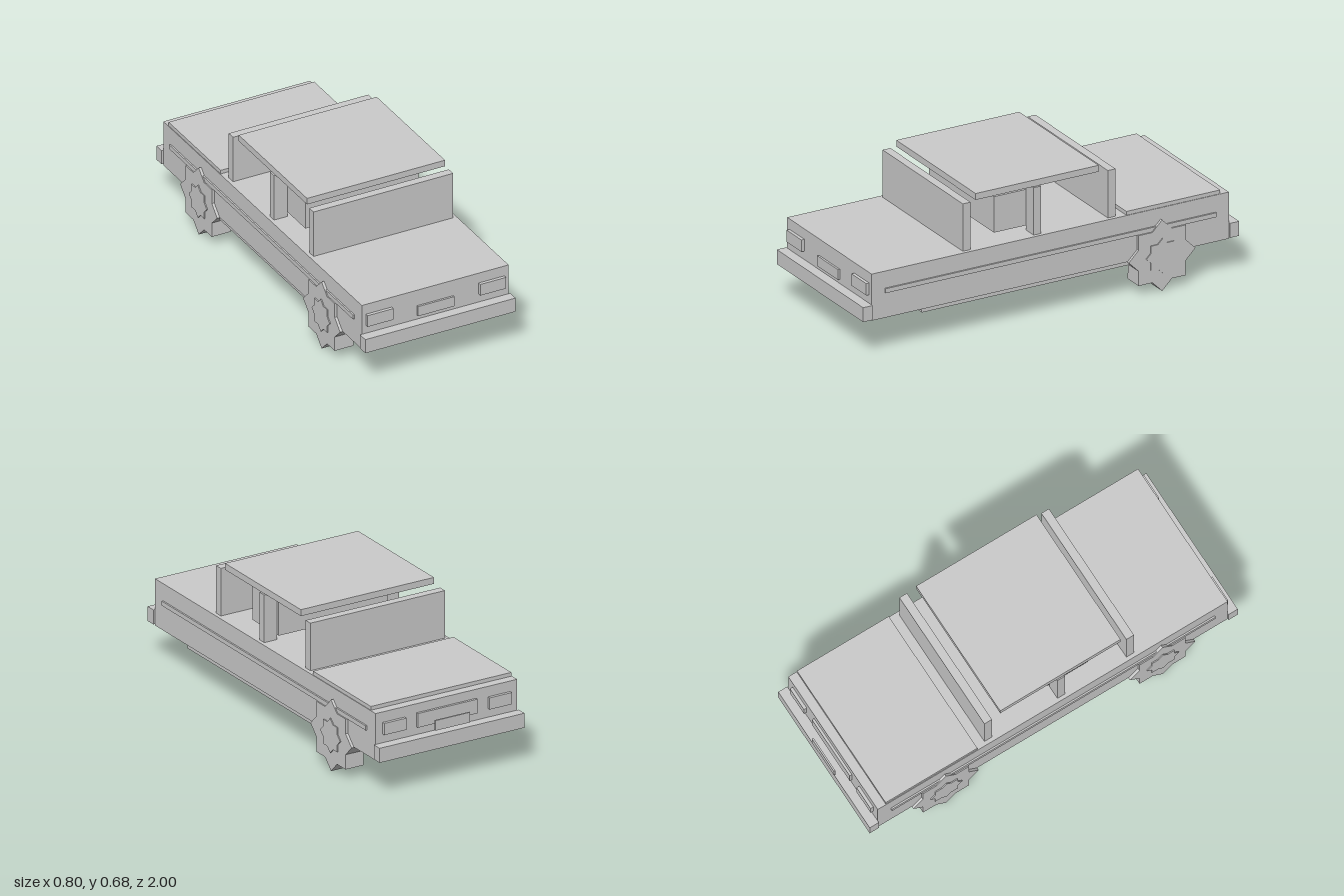
import * as THREE from 'three';

const material = new THREE.MeshStandardMaterial({ color: 0xcccccc, flatShading: true });

// Box given by its [min, max] range on each axis
function box(parent, name, [x0, x1], [y0, y1], [z0, z1]) {
  const mesh = new THREE.Mesh(new THREE.BoxGeometry(x1 - x0, y1 - y0, z1 - z0), material);
  mesh.name = name;
  mesh.position.set((x0 + x1) / 2, (y0 + y1) / 2, (z0 + z1) / 2);
  parent.add(mesh);
}

// Eight-pointed star prism lying along x
function star(name, radius, x0, x1) {
  const points = [];
  for (let i = 0; i < 16; i++) {
    const r = i % 2 ? radius * 0.765 : radius;
    const a = (i * Math.PI) / 8;
    points.push(new THREE.Vector2(r * Math.cos(a), r * Math.sin(a)));
  }
  const geometry = new THREE.ExtrudeGeometry(new THREE.Shape(points), { depth: x1 - x0, bevelEnabled: false });
  geometry.rotateY(Math.PI / 2);
  geometry.translate(x0, 0, 0);
  const mesh = new THREE.Mesh(geometry, material);
  mesh.name = name;
  return mesh;
}

// Range mirrored to the given side
const onSide = (s, a, b) => (s > 0 ? [a, b] : [-b, -a]);
const span = (h) => [-h, h];

export function createModel() {
  const car = new THREE.Group();
  car.name = 'car';

  // Lower body
  box(car, 'body', span(0.383), [0.178, 0.41], [-0.945, 0.95]);
  box(car, 'underbody', span(0.376), [0.158, 0.178], span(0.68));
  box(car, 'trunkLid', span(0.38), [0.41, 0.429], [-0.9, -0.403]);
  box(car, 'frontBumper', span(0.392), [0.185, 0.257], [0.95, 1]);
  box(car, 'rearBumper', span(0.392), [0.185, 0.257], [-0.994, -0.945]);

  // Cabin
  box(car, 'windshield', span(0.364), [0.41, 0.646], [0.414, 0.455]);
  box(car, 'rearWindow', span(0.364), [0.41, 0.646], [-0.355, -0.314]);
  box(car, 'roof', span(0.36), [0.649, 0.681], [-0.267, 0.385]);
  box(car, 'bench', span(0.295), [0.433, 0.612], [0.028, 0.25]);

  // Plates and rear panel
  box(car, 'frontPlate', span(0.094), [0.277, 0.328], [0.95, 0.96]);
  box(car, 'rearPanel', span(0.162), [0.295, 0.365], [-0.957, -0.945]);
  box(car, 'rearPlate', span(0.094), [0.28, 0.33], [-1, -0.992]);

  // Parts found on both sides
  for (const s of [1, -1]) {
    box(car, 'doorPillar', onSide(s, 0.295, 0.365), [0.41, 0.646], [0.04, 0.08]);
    box(car, 'sideTrim', onSide(s, 0.383, 0.391), [0.303, 0.325], [-0.873, 0.88]);
    box(car, 'headlight', onSide(s, 0.227, 0.361), [0.299, 0.358], [0.95, 0.966]);
    box(car, 'tailLight', onSide(s, 0.225, 0.345), [0.3, 0.358], [-0.96, -0.945]);
  }

  // Three wheels: the front left one is absent
  for (const [s, z] of [[-1, 0.59], [-1, -0.583], [1, -0.583]]) {
    const wheel = new THREE.Group();
    wheel.name = 'wheel';
    wheel.add(star('tire', 0.177, ...onSide(s, 0.298, 0.396)));
    wheel.add(star('hubcap', 0.086, ...onSide(s, 0.396, 0.401)));
    wheel.position.set(0, 0.177, z);
    car.add(wheel);
  }
  return car;
}
